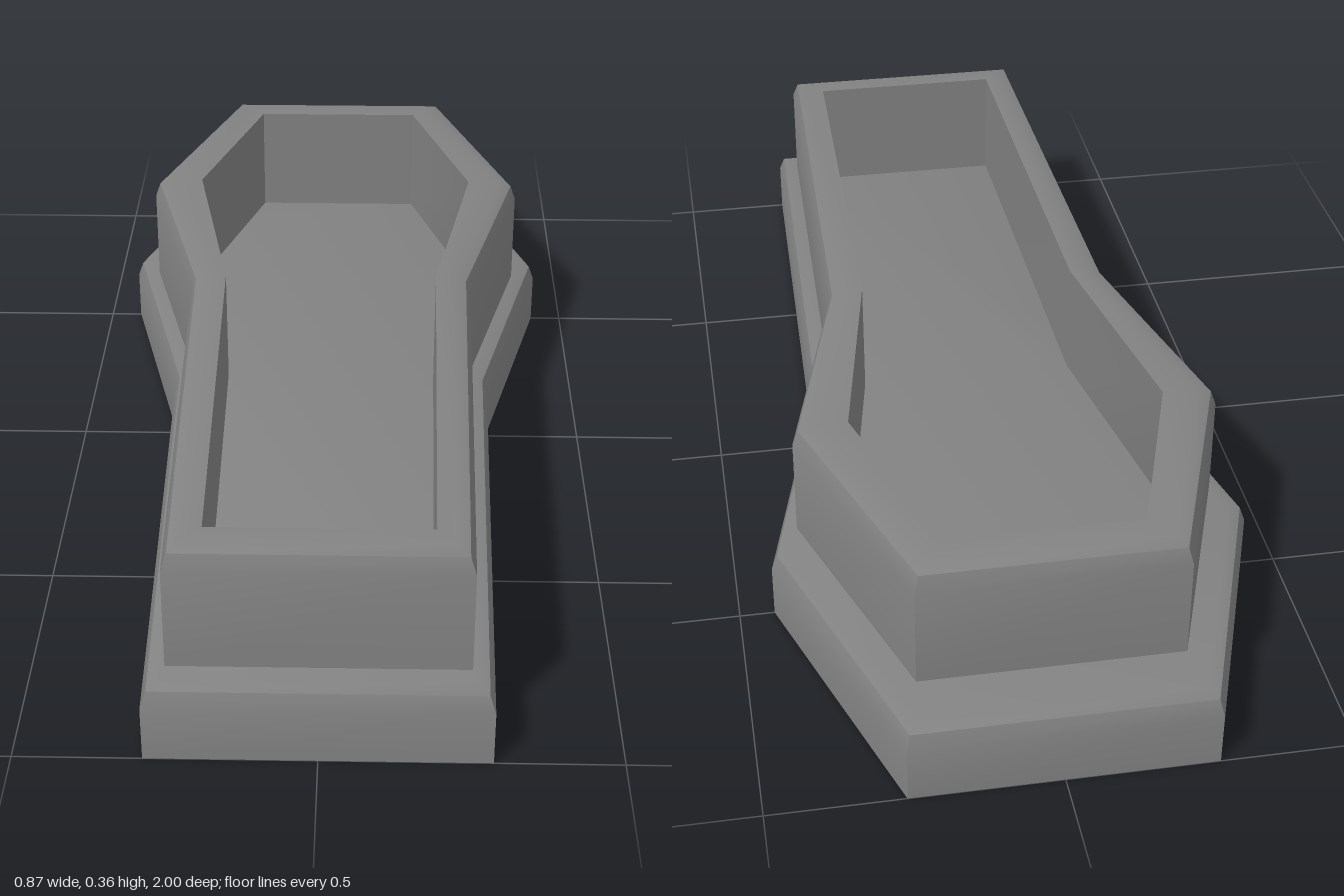
import * as THREE from 'three';
import { toCreasedNormals } from 'three/addons/utils/BufferGeometryUtils.js';

// Mirror the +x half of an outline ([x, z], front to back) into a closed loop
const outline = (half) => [...half, ...half.map(([x, z]) => [-x, z]).reverse()];

// Move every edge of a closed loop inwards by d, with mitred corners
function inset(loop, d) {
  const n = loop.length;
  const normal = (a, b) => {
    const dx = b[0] - a[0], dz = b[1] - a[1], l = Math.hypot(dx, dz);
    return [dz / l, -dx / l];
  };
  return loop.map((p, i) => {
    const n1 = normal(loop[(i + n - 1) % n], p);
    const n2 = normal(p, loop[(i + 1) % n]);
    const k = d / (1 + n1[0] * n2[0] + n1[1] * n2[1]);
    return [p[0] + (n1[0] + n2[0]) * k, p[1] + (n1[1] + n2[1]) * k];
  });
}

// Skin a stack of { loop, y } rings, with optional end caps
function loft(rings, capped) {
  const n = rings[0].loop.length;
  const positions = [], index = [];
  for (const { loop, y } of rings) for (const [x, z] of loop) positions.push(x, y, z);
  for (let r = 0; r < rings.length - 1; r++) {
    for (let i = 0; i < n; i++) {
      const j = (i + 1) % n;
      const a = r * n + i, b = r * n + j, c = b + n, d = a + n;
      index.push(a, b, c, a, c, d);
    }
  }
  const cap = (r, up) => {
    const points = rings[r].loop.map(([x, z]) => new THREE.Vector2(x, -z));
    for (const [a, b, c] of THREE.ShapeUtils.triangulateShape(points, [])) {
      index.push(r * n + a, r * n + (up ? b : c), r * n + (up ? c : b));
    }
  };
  if (capped) {
    cap(0, false);
    cap(rings.length - 1, true);
  }
  const geometry = new THREE.BufferGeometry();
  geometry.setAttribute('position', new THREE.Float32BufferAttribute(positions, 3));
  geometry.setIndex(index);
  return toCreasedNormals(geometry, THREE.MathUtils.degToRad(30));
}

// Upright wall ending in a rounded top edge
const roundedWall = (loop, y0, y1) => [
  { loop, y: y0 },
  { loop, y: y1 - 0.038 },
  { loop: inset(loop, 0.01), y: y1 - 0.009 },
  { loop: inset(loop, 0.033), y: y1 },
];

export function createModel() {
  const group = new THREE.Group();
  group.name = 'coffin';
  const material = new THREE.MeshStandardMaterial({ color: 0x828282 });
  const add = (name, geometry) => {
    const mesh = new THREE.Mesh(geometry, material);
    mesh.name = name;
    group.add(mesh);
  };

  const baseLoop = outline([[0.286, 1], [0.314, 0], [0.437, -0.5], [0.264, -1]]);
  const outerLoop = outline([[0.25, 0.935], [0.274, 0], [0.384, -0.438], [0.23, -0.876]]);
  const innerLoop = outline([[0.188, 0.863], [0.205, 0], [0.284, -0.438], [0.17, -0.793]]);
  const baseTop = 0.139, rimTop = 0.363;

  // Solid plinth, whose top is also the floor of the box
  add('base', loft(roundedWall(baseLoop, 0, baseTop), true));

  // Hollow box: outside wall, flat rim, then down the inside
  add('boxWalls', loft([
    ...roundedWall(outerLoop, baseTop, rimTop),
    { loop: innerLoop, y: rimTop },
    { loop: innerLoop, y: baseTop },
  ], false));

  return group;
}
